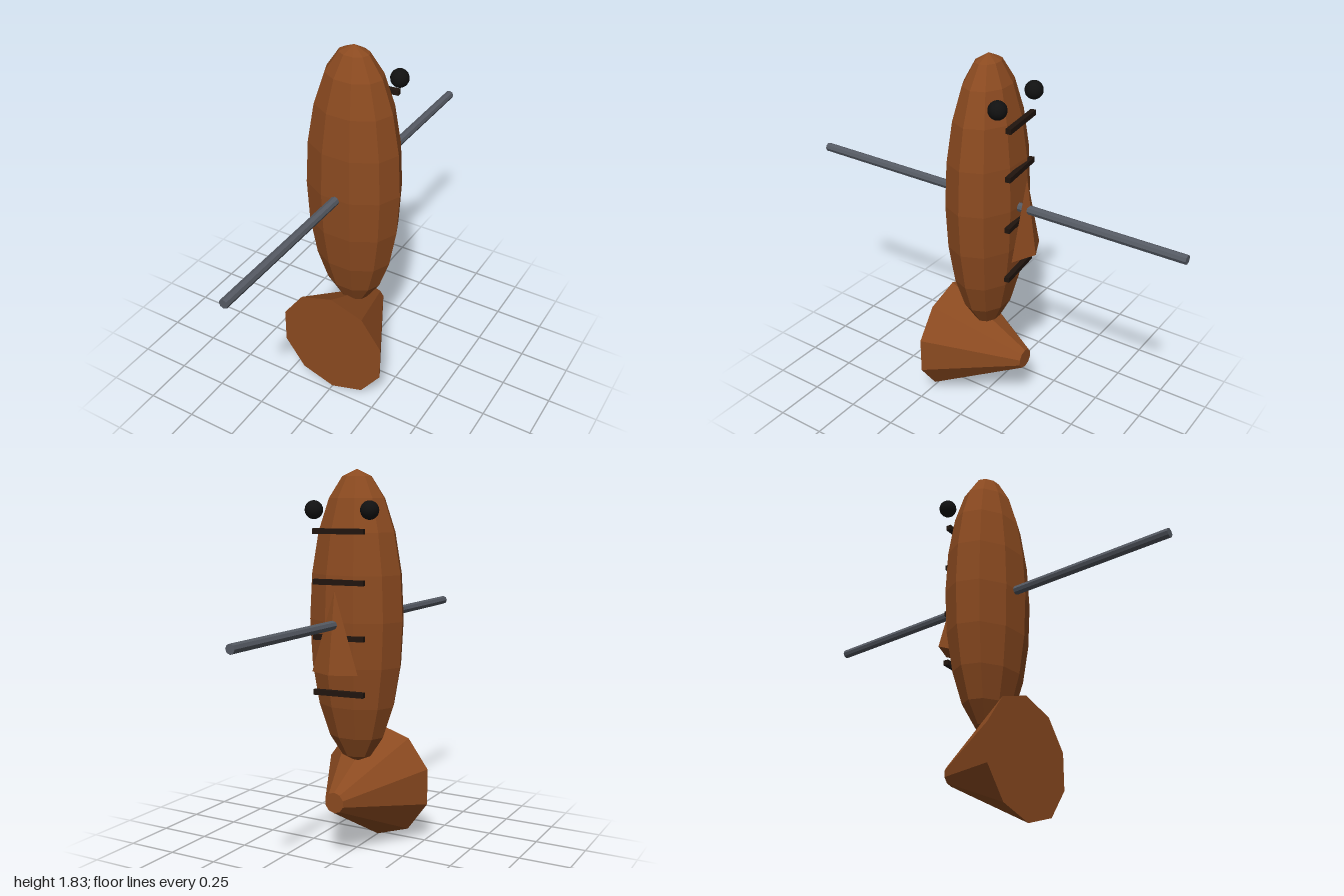
import * as THREE from 'three';

const material = (color, flatShading = false) => new THREE.MeshStandardMaterial({ color, flatShading });

export function createModel() {
  const model = new THREE.Group();
  model.name = 'fishOnSkewer';

  const brown = material(0x8b4a20, true);
  const dark = material(0x20150e, true);
  const black = material(0x111111);
  const steel = material(0x555a63, true);

  const add = (name, geometry, mat, x, y, z) => {
    const mesh = new THREE.Mesh(geometry, mat);
    mesh.name = name;
    mesh.position.set(x, y, z);
    model.add(mesh);
    return mesh;
  };

  // Upright faceted body
  add('body', new THREE.SphereGeometry(1, 10, 10).scale(0.24, 0.695, 0.18), brown, 0, 1.14, 0);

  // Tail: truncated ten-sided cone, wide end to the front
  add('tail', new THREE.CylinderGeometry(0.29, 0.05, 0.44, 10).rotateX(Math.PI / 2), brown, 0, 0.295, 0);

  // Four-sided fin on the back
  add('backFin', new THREE.ConeGeometry(0.12, 0.38, 4).scale(1, 1, 0.46), brown, 0, 1.1, -0.21);

  // Skewer running front to back
  add('skewer', new THREE.CylinderGeometry(0.022, 0.022, 2, 8).rotateX(Math.PI / 2), steel, 0, 1.135, 0);

  // Slightly turned bars across the back
  for (const y of [1.555, 1.325, 1.07, 0.81]) {
    add('stripe', new THREE.BoxGeometry(0.25, 0.025, 0.025), dark, 0, y, -0.172).rotation.y = 0.12;
  }

  // Eyes
  for (const side of [-1, 1]) {
    add(side > 0 ? 'leftEye' : 'rightEye', new THREE.SphereGeometry(0.043, 16, 12), black, side * 0.145, 1.65, -0.145);
  }

  return model;
}
